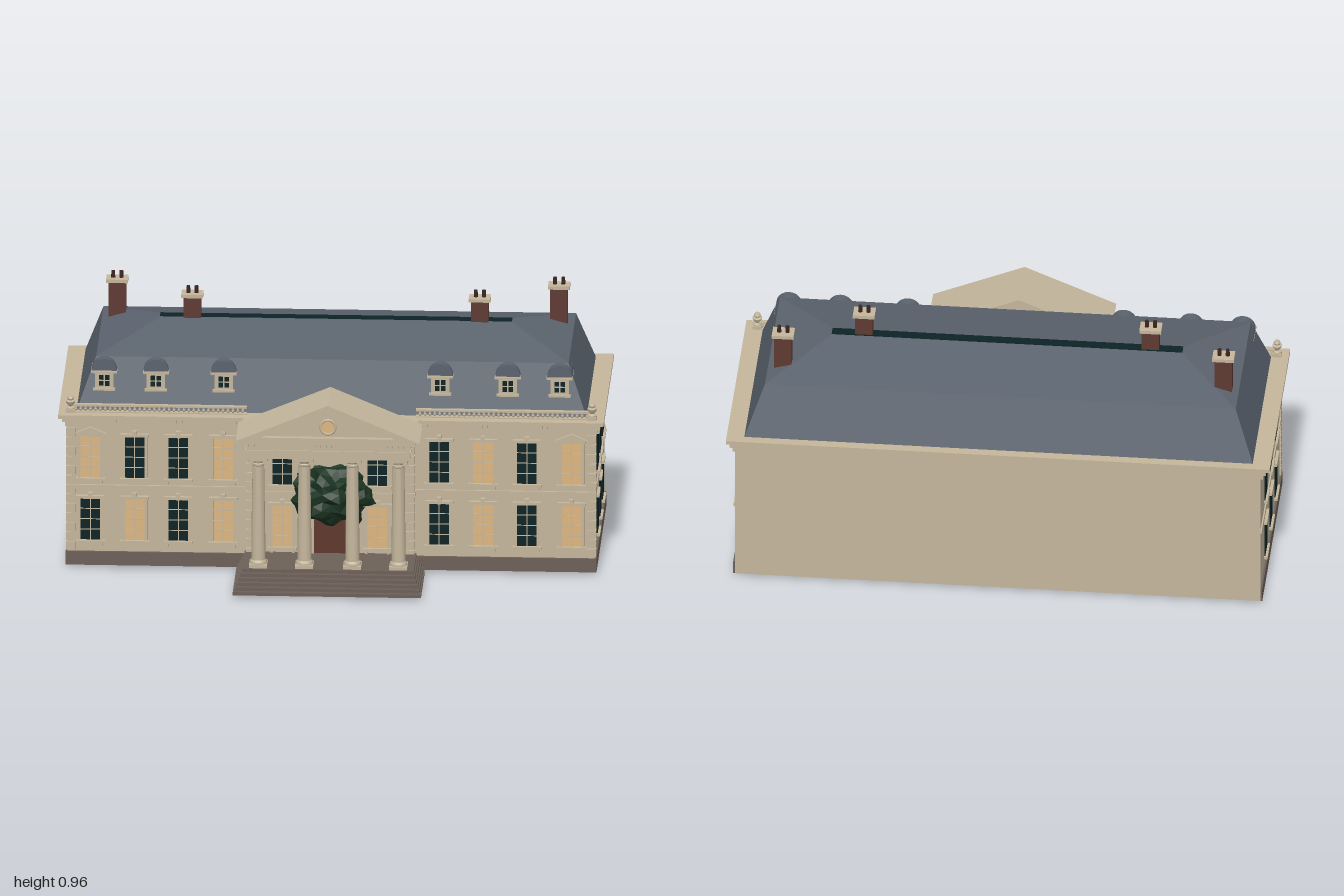
import * as THREE from 'three';
import { toCreasedNormals } from 'three/addons/utils/BufferGeometryUtils.js';

const material = (name, color) => Object.assign(new THREE.MeshStandardMaterial({ color }), { name });
const stone = material('cream stone', 0xc4b69c);
const slate = material('slate', 0x5b636e);
const base = material('dark base stone', 0x6c6158);
const brick = material('brick', 0x5f3a32);
const pot = material('chimney pot', 0x3c2522);
const glass = material('dark glass', 0x0c2325);
const amber = material('lit glass', 0xdcb682);
const leaf = material('foliage', 0x1b3422);
const wood = material('door wood', 0x5e382c);

function add(parent, name, geo, mat, x = 0, y = 0, z = 0) {
  const m = new THREE.Mesh(geo, mat);
  m.name = name;
  m.position.set(x, y, z);
  parent.add(m);
  return m;
}
// Box given by its extents on each axis
function box(parent, name, mat, x0, x1, y0, y1, z0, z1) {
  return add(parent, name, new THREE.BoxGeometry(x1 - x0, y1 - y0, z1 - z0), mat,
    (x0 + x1) / 2, (y0 + y1) / 2, (z0 + z1) / 2);
}
function group(parent, name) {
  const g = new THREE.Group();
  g.name = name;
  parent.add(g);
  return g;
}
const lathe = (pts, n = 20) => toCreasedNormals(
  new THREE.LatheGeometry(pts.map(p => new THREE.Vector2(...p)), n), 0.7);
const triangle = (w, y0, y1, Type = THREE.Shape) => {
  const s = new Type();
  s.moveTo(-w, y0); s.lineTo(w, y0); s.lineTo(0, y1); s.closePath();
  return s;
};
const extrude = (shape, depth) => new THREE.ExtrudeGeometry(shape, { depth, bevelEnabled: false });

// Mansard roof: rectangular rings joined by flat quads
function roofGeometry() {
  const rings = [[0.935, 0.592, -0.52, 0.187], [0.866, 0.782, -0.45, 0.125], [0.645, 0.845, -0.195, -0.15]]
    .map(([w, y, b, f]) => [[-w, y, f], [w, y, f], [w, y, b], [-w, y, b]]);
  const p = [];
  const quad = (a, b, c, d) => p.push(...a, ...b, ...c, ...a, ...c, ...d);
  for (let r = 0; r < 2; r++)
    for (let i = 0; i < 4; i++) {
      const j = (i + 1) % 4;
      quad(rings[r][i], rings[r][j], rings[r + 1][j], rings[r + 1][i]);
    }
  quad(...rings[2]);
  const g = new THREE.BufferGeometry();
  g.setAttribute('position', new THREE.Float32BufferAttribute(p, 3));
  g.computeVertexNormals();
  return g;
}

// Front window with surround, sill, hood and glazing bars
function frontWindow(parent, x, y0, z, lit, gable) {
  const g = group(parent, 'frontWindow'), h = 0.16, w = 0.036;
  g.position.set(x, y0, z);
  box(g, 'windowPane', lit ? amber : glass, -w, w, 0, h, -0.002, 0.003);
  for (const s of [-1, 1]) {
    box(g, 'windowJamb', stone, s * 0.041 - 0.005, s * 0.041 + 0.005, 0, h, 0, 0.009);
    box(g, 'sillBracket', stone, s * 0.04 - 0.005, s * 0.04 + 0.005, -0.022, -0.01, 0, 0.011);
  }
  box(g, 'windowBar', stone, -0.002, 0.002, 0, h, 0.001, 0.006);
  for (const k of [0.25, 0.5, 0.75])
    box(g, 'windowBar', stone, -w, w, h * k - 0.0015, h * k + 0.0015, 0.001, 0.005);
  box(g, 'windowSill', stone, -0.053, 0.053, -0.01, 0, 0, 0.016);
  box(g, 'windowHood', stone, -0.052, 0.052, h, h + 0.011, 0, 0.014);
  if (gable) add(g, 'windowGable', extrude(triangle(0.058, h + 0.011, h + 0.036), 0.014), stone);
  else box(g, 'keystone', stone, -0.008, 0.008, h, h + 0.024, 0, 0.016);
}

function quoins(parent, x, z, s) {
  for (let i = 0; i < 13; i++) {
    const w = i % 2 ? 0.022 : 0.036, y = 0.068 + i * 0.0365;
    box(parent, 'quoin', stone, Math.min(x, x - s * w), Math.max(x, x - s * w), y, y + 0.031, z - 0.03, z + 0.007);
  }
}

export function createModel() {
  const house = new THREE.Group();
  house.name = 'house';

  // Walls, plinth and string course
  box(house, 'mainWalls', stone, -0.966, 0.966, 0.01, 0.57, -0.551, 0.222);
  box(house, 'centreBay', stone, -0.305, 0.305, 0.01, 0.58, 0.2, 0.27);
  box(house, 'frontPlinth', base, -0.973, 0.973, 0.01, 0.062, 0.2, 0.23);
  box(house, 'bayPlinth', base, -0.31, 0.31, 0.01, 0.062, 0.22, 0.274);
  for (const s of [-1, 1]) {
    const x = s * 0.9665;
    box(house, 'sidePlinth', base, x - 0.0065, x + 0.0065, 0.0101, 0.062, -0.5508, 0.229);
    box(house, 'sideStringCourse', stone, x - 0.005, x + 0.005, 0.304, 0.319, -0.55, 0.222);
    quoins(house, s * 0.972, 0.222, s);
    quoins(house, s * 0.309, 0.27, s);
  }
  box(house, 'stringCourse', stone, -0.971, 0.971, 0.304, 0.319, 0.2, 0.23);
  box(house, 'bayStringCourse', stone, -0.31, 0.31, 0.304, 0.319, 0.2, 0.276);

  // Stepped cornice and dentils
  const cornice = group(house, 'cornice');
  [[0.545, 0.563, 0.975, 0.23], [0.563, 0.578, 0.986, 0.238], [0.578, 0.592, 1, 0.247]].forEach(([a, b, w, f], i) => {
    box(cornice, 'corniceLayer', stone, -w, w, a, b, -0.551 - i * 0.002, f);
    box(cornice, 'bayCorniceLayer', stone, -0.308 - i * 0.006, 0.308 + i * 0.006, a, b + 0.001, 0.19, f + 0.05);
  });
  for (const s of [-1, 1])
    for (let x = 0.33; x < 0.97; x += 0.02)
      box(cornice, 'dentil', stone, s * x - 0.005, s * x + 0.005, 0.566, 0.577, 0.23, 0.244);

  // Front windows: x, upper lit, lower lit
  const windows = [[-0.882, 1, 0], [-0.72, 0, 1], [-0.56, 0, 0], [-0.396, 1, 1], [-0.176, 0, 1],
    [0.172, 0, 1], [0.396, 0, 0], [0.557, 1, 1], [0.718, 0, 0], [0.882, 1, 1]];
  for (const [x, up, low] of windows) {
    const z = Math.abs(x) < 0.3 ? 0.27 : 0.222;
    frontWindow(house, x, 0.347, z, up, Math.abs(x) > 0.8);
    frontWindow(house, x, 0.107, z, low, false);
  }

  // Plain side windows
  for (const s of [-1, 1])
    for (const z of [0.027, -0.166, -0.358])
      for (const y of [0.107, 0.352]) {
        const g = group(house, 'sideWindow');
        g.position.set(s * 0.966, y, z);
        box(g, 'windowPane', glass, -0.004, 0.004, 0, 0.144, -0.04, 0.04);
        box(g, 'windowSill', stone, -0.013, 0.013, -0.01, 0, -0.047, 0.047);
        box(g, 'windowLintel', stone, -0.011, 0.011, 0.14, 0.152, -0.046, 0.046);
      }

  // Roof and ridge strip
  add(house, 'mansardRoof', roofGeometry(), slate);
  box(house, 'ridgeStrip', glass, -0.645, 0.645, 0.841, 0.848, -0.192, -0.155);

  // Dormers with rounded slate hoods
  const hood = new THREE.CylinderGeometry(0.046, 0.046, 0.11, 20, 1, false, -Math.PI / 2, Math.PI);
  hood.rotateX(-Math.PI / 2);
  for (const s of [-1, 1])
    for (const x of [0.397, 0.645, 0.835]) {
      const d = group(house, 'dormer');
      d.position.x = s * x;
      box(d, 'dormerFrame', stone, -0.034, 0.034, 0.67, 0.737, 0.09, 0.163);
      box(d, 'dormerSill', stone, -0.041, 0.041, 0.664, 0.673, 0.12, 0.172);
      box(d, 'dormerEaves', stone, -0.048, 0.048, 0.73, 0.738, 0.07, 0.169);
      for (const px of [-0.011, 0.011])
        for (const py of [0.69, 0.713])
          box(d, 'dormerPane', glass, px - 0.008, px + 0.008, py - 0.009, py + 0.009, 0.16, 0.165);
      add(d, 'dormerHood', hood, slate, 0, 0.737, 0.106).material.side = THREE.DoubleSide;
    }

  // Chimneys
  for (const s of [-1, 1])
    for (const [x, z, y] of [[0.81, -0.328, 0.77], [0.527, -0.167, 0.83]]) {
      const c = group(house, 'chimney');
      c.position.set(s * x, 0, z);
      box(c, 'chimneyStack', brick, -0.032, 0.032, y, 0.924, -0.022, 0.022);
      box(c, 'chimneyCap', stone, -0.04, 0.04, 0.922, 0.935, -0.03, 0.03);
      for (const p of [-0.015, 0.015])
        add(c, 'chimneyPot', new THREE.CylinderGeometry(0.007, 0.008, 0.028, 10), pot, p, 0.947, 0);
    }

  // Balustrade and corner urns
  const baluster = lathe([[0.003, 0], [0.006, 0.007], [0.003, 0.014], [0.004, 0.02]], 8);
  const urn = lathe([[0, 0], [0.016, 0], [0.016, 0.006], [0.007, 0.011], [0.016, 0.024], [0.018, 0.031],
    [0.01, 0.035], [0.013, 0.042], [0.009, 0.05], [0, 0.052]], 14);
  for (const s of [-1, 1]) {
    const b = group(house, 'balustrade'), mid = s * 0.63;
    box(b, 'balustradeBase', stone, mid - 0.32, mid + 0.32, 0.59, 0.596, 0.189, 0.211);
    box(b, 'balustradeRail', stone, mid - 0.32, mid + 0.32, 0.615, 0.622, 0.191, 0.209);
    for (let x = 0.325; x < 0.94; x += 0.018) add(b, 'baluster', baluster, stone, s * x, 0.596, 0.2);
    box(b, 'urnPedestal', stone, s * 0.956 - 0.017, s * 0.956 + 0.017, 0.59, 0.606, 0.186, 0.22);
    add(b, 'urn', urn, stone, s * 0.956, 0.604, 0.204);
  }

  // Entrance steps
  for (let i = 0; i < 6; i++)
    box(house, 'step', base, -0.345 + i * 0.006, 0.345 - i * 0.006, 0.01 + i * 0.0125, 0.0225 + i * 0.0125, 0.26, 0.555 - i * 0.0165);

  // Portico columns
  const portico = group(house, 'portico');
  const shaft = lathe([[0.031, 0.096], [0.032, 0.102], [0.03, 0.108], [0.026, 0.112], [0.0255, 0.2],
    [0.0215, 0.475], [0.025, 0.478], [0.025, 0.484], [0.022, 0.487], [0.03, 0.5]], 24);
  const volute = new THREE.CylinderGeometry(0.009, 0.009, 0.05, 12).rotateX(Math.PI / 2);
  for (const x of [-0.257, -0.088, 0.088, 0.257]) {
    const c = group(portico, 'column');
    c.position.set(x, 0, 0.43);
    box(c, 'columnBase', stone, -0.033, 0.033, 0.084, 0.097, -0.033, 0.033);
    add(c, 'columnShaft', shaft, stone);
    box(c, 'columnTop', stone, -0.033, 0.033, 0.498, 0.512, -0.033, 0.033);
    for (const v of [-0.026, 0.026]) add(c, 'volute', volute, stone, v, 0.492, 0);
  }

  // Entablature, dentils and gable
  box(portico, 'entablature', stone, -0.3, 0.3, 0.51, 0.566, 0.25, 0.468);
  box(portico, 'entablatureBand', stone, -0.304, 0.304, 0.538, 0.544, 0.25, 0.473);
  box(portico, 'porticoCornice', stone, -0.322, 0.322, 0.573, 0.588, 0.25, 0.49);
  for (let i = 0; i < 30; i++) {
    const x = -0.295 + i * 0.0203;
    box(portico, 'dentil', stone, x - 0.005, x + 0.005, 0.56, 0.574, 0.46, 0.48);
  }
  const rake = triangle(0.337, 0.585, 0.726);
  rake.holes.push(triangle(0.246, 0.6, 0.703, THREE.Path));
  add(portico, 'gableRoof', extrude(rake, 0.22), stone, 0, 0, 0.272);
  add(portico, 'gableWall', extrude(triangle(0.25, 0.599, 0.7035), 0.2), stone, 0, 0, 0.273);
  add(portico, 'roundWindowFrame', new THREE.TorusGeometry(0.027, 0.005, 8, 28), stone, 0, 0.638, 0.474);
  add(portico, 'roundWindow', new THREE.CylinderGeometry(0.026, 0.026, 0.006, 28).rotateX(Math.PI / 2), amber, 0, 0.638, 0.473);

  // Front door
  box(house, 'door', wood, -0.06, 0.06, 0.085, 0.28, 0.265, 0.276);
  for (const s of [-1, 1]) box(house, 'doorJamb', stone, s * 0.067 - 0.007, s * 0.067 + 0.007, 0.085, 0.29, 0.265, 0.282);

  // Tree: ragged crown and root
  const crown = new THREE.IcosahedronGeometry(1, 4), p = crown.attributes.position, v = new THREE.Vector3();
  for (let i = 0; i < p.count; i++) {
    v.fromBufferAttribute(p, i);
    const k = 1 + 0.09 * Math.sin(v.x * 9 + v.y * 5) + 0.07 * Math.sin(v.y * 13 - v.z * 7) + 0.05 * Math.sin(v.x * 17 + v.z * 11);
    p.setXYZ(i, v.x * k * 0.15, v.y * k * 0.117, v.z * k * 0.13);
  }
  crown.computeVertexNormals();
  add(house, 'treeCrown', crown, leaf, 0.005, 0.312, 0.255);
  add(house, 'treeRoot', new THREE.CylinderGeometry(0.05, 0.08, 0.2, 9).scale(1, 1, 0.34), leaf, 0.02, 0.1, 0.228);

  return house;
}
